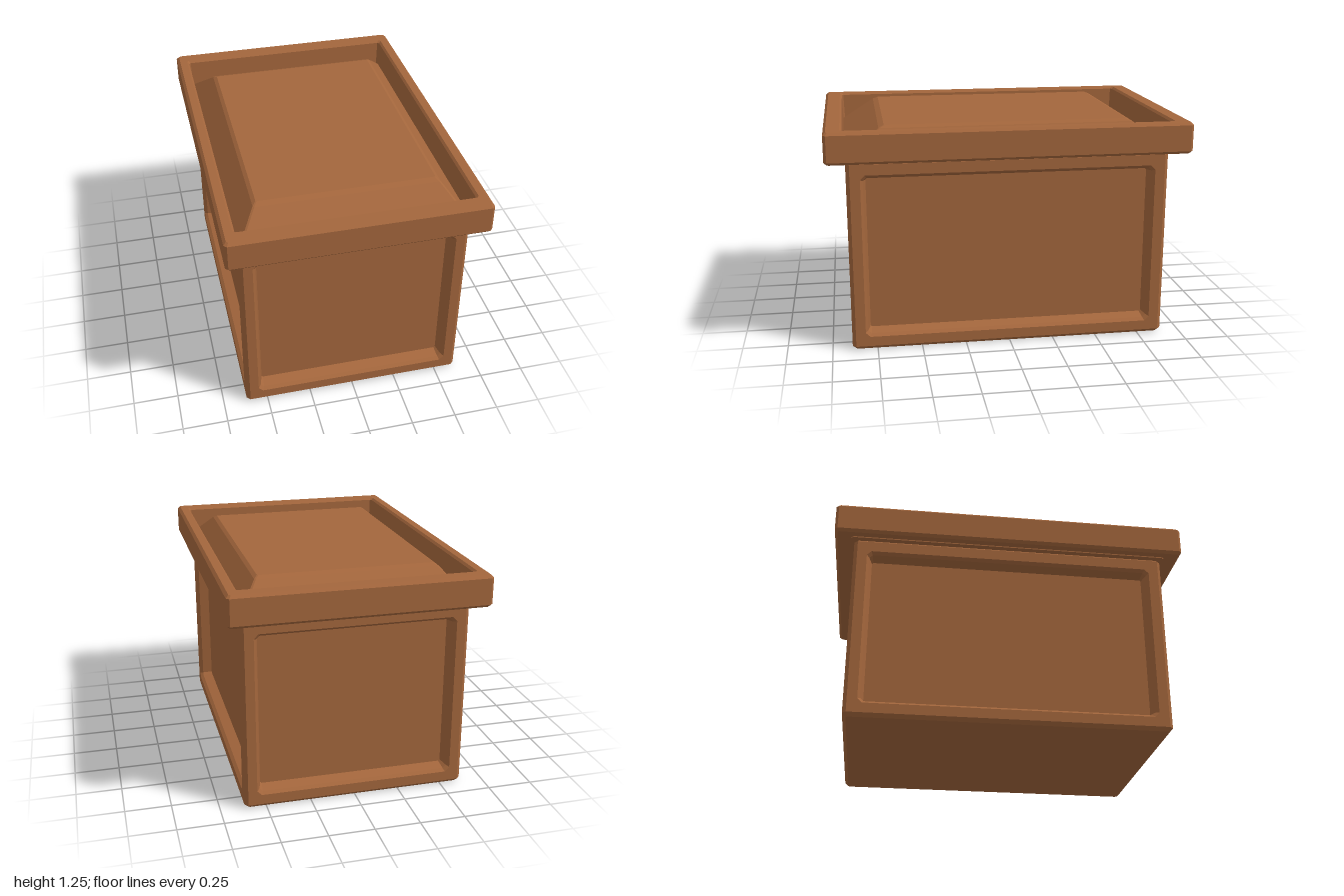
import * as THREE from 'three';

// Rectangle with cut corners, counter-clockwise, as 8 points
function ring([hx, hy, c, z], cy = 0) {
  return [
    [-hx + c, -hy], [hx - c, -hy], [hx, -hy + c], [hx, hy - c],
    [hx - c, hy], [-hx + c, hy], [-hx, hy - c], [-hx, -hy + c],
  ].map(([x, y]) => new THREE.Vector3(x, y + cy, z));
}

// Skin a series of rings; step 2 skins only the cut corners
function loft(levels, { cy = 0, start = false, end = false, cornersOnly = false } = {}) {
  const rings = levels.map((l) => ring(l, cy));
  const pts = [];
  for (let i = 0; i < rings.length - 1; i++) {
    for (let j = cornersOnly ? 1 : 0; j < 8; j += cornersOnly ? 2 : 1) {
      const k = (j + 1) % 8;
      const a = rings[i][j], b = rings[i][k], c = rings[i + 1][k], d = rings[i + 1][j];
      pts.push(a, b, c, a, c, d);
    }
  }
  for (let j = 1; j < 7; j++) {
    const s = rings[0], e = rings[rings.length - 1];
    if (start) pts.push(s[0], s[j + 1], s[j]);
    if (end) pts.push(e[0], e[j], e[j + 1]);
  }
  const g = new THREE.BufferGeometry().setFromPoints(pts);
  g.computeVertexNormals();
  return g;
}

export function createModel() {
  const wood = new THREE.MeshStandardMaterial({ color: 0xa3663c });
  wood.name = 'brown wood';
  const model = new THREE.Group();
  model.name = 'crate';

  const add = (name, geometry, parent = model) => {
    const mesh = new THREE.Mesh(geometry, wood);
    mesh.name = name;
    parent.add(mesh);
    return mesh;
  };
  // Lofts are made along z, then stood upright
  const addUpright = (name, levels, options) =>
    add(name, loft(levels, options).rotateX(-Math.PI / 2));

  const X = 0.62, Z = 0.89, B = 0.02, TOP = 1.06;

  // Bevelled bottom, corner posts and top edge of the body
  addUpright('bodyBase', [[X - B, Z - B, 0.01, 0], [X, Z, B, B]], { start: true });
  addUpright('cornerBevels', [[X, Z, B, B], [X, Z, B, TOP]], { cornersOnly: true });
  addUpright('bodyTopEdge', [[X, Z, B, TOP], [X - B, Z - B, 0.01, 1.08]], { end: true });

  // Four walls, each a flat frame around a recessed panel
  const cy = 0.5375, hy = 0.4625;
  const walls = [
    ['front', X, Z, 0.55, 0], ['left', Z, X, 0.815, 1],
    ['back', X, Z, 0.55, 2], ['right', Z, X, 0.815, 3],
  ];
  for (const [side, half, out, hx, turn] of walls) {
    const wall = new THREE.Group();
    wall.name = side + 'Wall';
    wall.rotation.y = turn * Math.PI / 2;
    const w = half - B;
    const frame = new THREE.Shape([[-w, B], [w, B], [w, TOP], [-w, TOP]]
      .map(([x, y]) => new THREE.Vector2(x, y)));
    frame.holes.push(new THREE.Path(ring([hx, hy, 0.025, 0], cy)
      .map((p) => new THREE.Vector2(p.x, p.y)).reverse()));
    add(side + 'Frame', new THREE.ShapeGeometry(frame).translate(0, 0, out), wall);
    add(side + 'Panel', loft([
      [hx, hy, 0.025, out],
      [hx - 0.015, hy - 0.015, 0.018, out - 0.018],
      [hx - 0.03, hy - 0.032, 0.008, out - 0.075],
    ], { cy, end: true }), wall);
    model.add(wall);
  }

  // Thin lip below the lid
  addUpright('lidLip', [[0.645, 0.91, 0.015, 1.07], [0.645, 0.91, 0.015, 1.08]],
    { start: true });

  // Lid with a raised rim and a sunken trough around a sloping centre
  addUpright('lid', [
    [0.685, 0.985, 0.01, 1.076],
    [0.7, 1.0, 0.015, 1.091],
    [0.7, 1.0, 0.015, 1.235],
    [0.685, 0.985, 0.01, 1.25],
    [0.642, 0.912, 0.012, 1.25],
    [0.63, 0.9, 0.01, 1.238],
    [0.625, 0.895, 0.01, 1.09],
    [0.505, 0.705, 0.008, 1.232],
    [0.485, 0.675, 0.006, 1.245],
  ], { start: true, end: true });

  return model;
}
